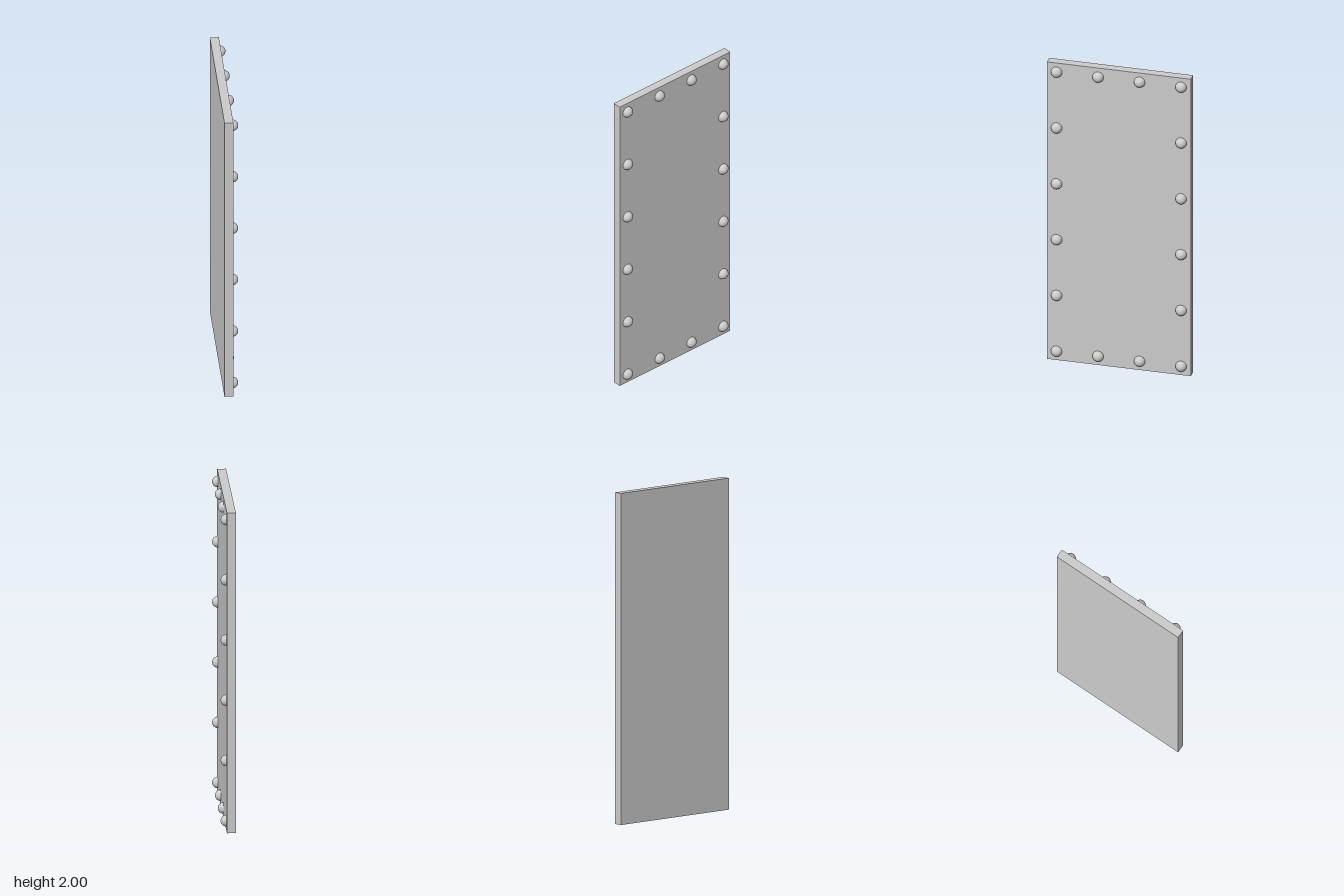
import * as THREE from 'three';

export function createModel() {
  const group = new THREE.Group();
  const material = new THREE.MeshStandardMaterial({ color: 0xcccccc });

  const height = 2, width = 0.887, back = -0.044, face = 0.0095;
  const margin = 0.06, radius = 0.034, rows = 6, columns = 4;

  // Flat upright plate
  const plate = new THREE.Mesh(new THREE.BoxGeometry(face - back, height, width), material);
  plate.name = 'plate';
  plate.position.set((face + back) / 2, height / 2, 0);
  group.add(plate);

  // Domed rivets around the border, pointing to +x
  const dome = new THREE.SphereGeometry(radius, 32, 12, 0, Math.PI * 2, 0, Math.PI / 2);
  dome.rotateZ(-Math.PI / 2);
  const rivets = new THREE.Group();
  rivets.name = 'rivets';
  for (let r = 0; r < rows; r++) {
    for (let c = 0; c < columns; c++) {
      const onBorder = r === 0 || r === rows - 1 || c === 0 || c === columns - 1;
      if (!onBorder) continue;
      const rivet = new THREE.Mesh(dome, material);
      rivet.name = 'rivet';
      rivet.position.set(
        face,
        margin + (r / (rows - 1)) * (height - 2 * margin),
        (c / (columns - 1) - 0.5) * (width - 2 * margin)
      );
      rivets.add(rivet);
    }
  }
  group.add(rivets);
  return group;
}
